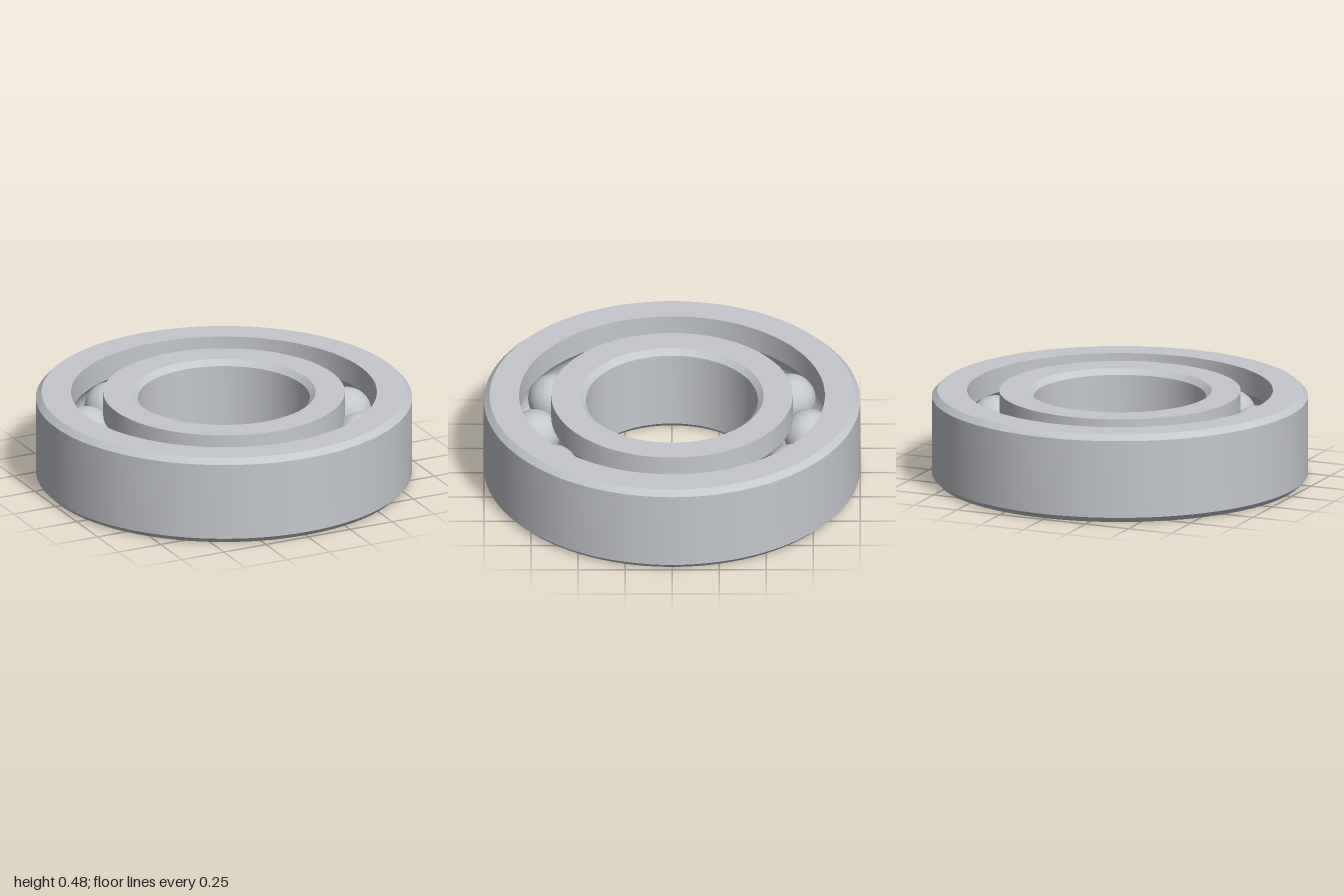
import * as THREE from 'three';
import { toCreasedNormals } from 'three/addons/utils/BufferGeometryUtils.js';

const HEIGHT = 0.48, MID = HEIGHT / 2, CHAMFER = 0.03;
const PITCH = 0.728, BALL = 0.134, GROOVE = 0.136, BALLS = 12;

// Arc of the ball groove cut into a race wall at radius r, in a given angular direction
function groove(r, from, to) {
  const points = [];
  for (let i = 0; i <= 12; i++) {
    const a = from + (to - from) * i / 12;
    points.push(new THREE.Vector2(PITCH + GROOVE * Math.cos(a), MID + GROOVE * Math.sin(a)));
  }
  return points;
}

// Revolve a closed, counter-clockwise profile
function ring(name, profile, material) {
  const lathe = new THREE.LatheGeometry([...profile, profile[0].clone()], 96);
  const mesh = new THREE.Mesh(toCreasedNormals(lathe, Math.PI / 7), material);
  mesh.name = name;
  return mesh;
}

export function createModel() {
  const group = new THREE.Group();
  group.name = 'ballBearing';
  const steel = new THREE.MeshStandardMaterial({ color: 0xc4c7cc });
  steel.name = 'steel';
  const v = (x, y) => new THREE.Vector2(x, y);

  // Outer race: chamfered outside, grooved inside
  const outer = 1, outerWall = 0.813;
  const a = Math.acos((outerWall - PITCH) / GROOVE);
  group.add(ring('outerRace', [
    v(outerWall, 0), v(outer - CHAMFER, 0), v(outer, CHAMFER),
    v(outer, HEIGHT - CHAMFER), v(outer - CHAMFER, HEIGHT), v(outerWall, HEIGHT),
    ...groove(outerWall, a, -a),
  ], steel));

  // Inner race: chamfered bore, grooved outside
  const bore = 0.457, innerWall = 0.642;
  const b = Math.acos((innerWall - PITCH) / GROOVE);
  group.add(ring('innerRace', [
    v(bore + CHAMFER, 0), v(innerWall, 0),
    ...groove(innerWall, 2 * Math.PI - b, b),
    v(innerWall, HEIGHT), v(bore + CHAMFER, HEIGHT),
    v(bore, HEIGHT - CHAMFER), v(bore, CHAMFER),
  ], steel));

  // Balls, evenly spaced around the pitch circle
  const balls = new THREE.Group();
  balls.name = 'balls';
  const sphere = new THREE.SphereGeometry(BALL, 40, 24);
  for (let i = 0; i < BALLS; i++) {
    const t = i / BALLS * Math.PI * 2;
    const ball = new THREE.Mesh(sphere, steel);
    ball.name = 'ball' + (i + 1);
    ball.position.set(PITCH * Math.cos(t), MID, PITCH * Math.sin(t));
    balls.add(ball);
  }
  group.add(balls);
  return group;
}
